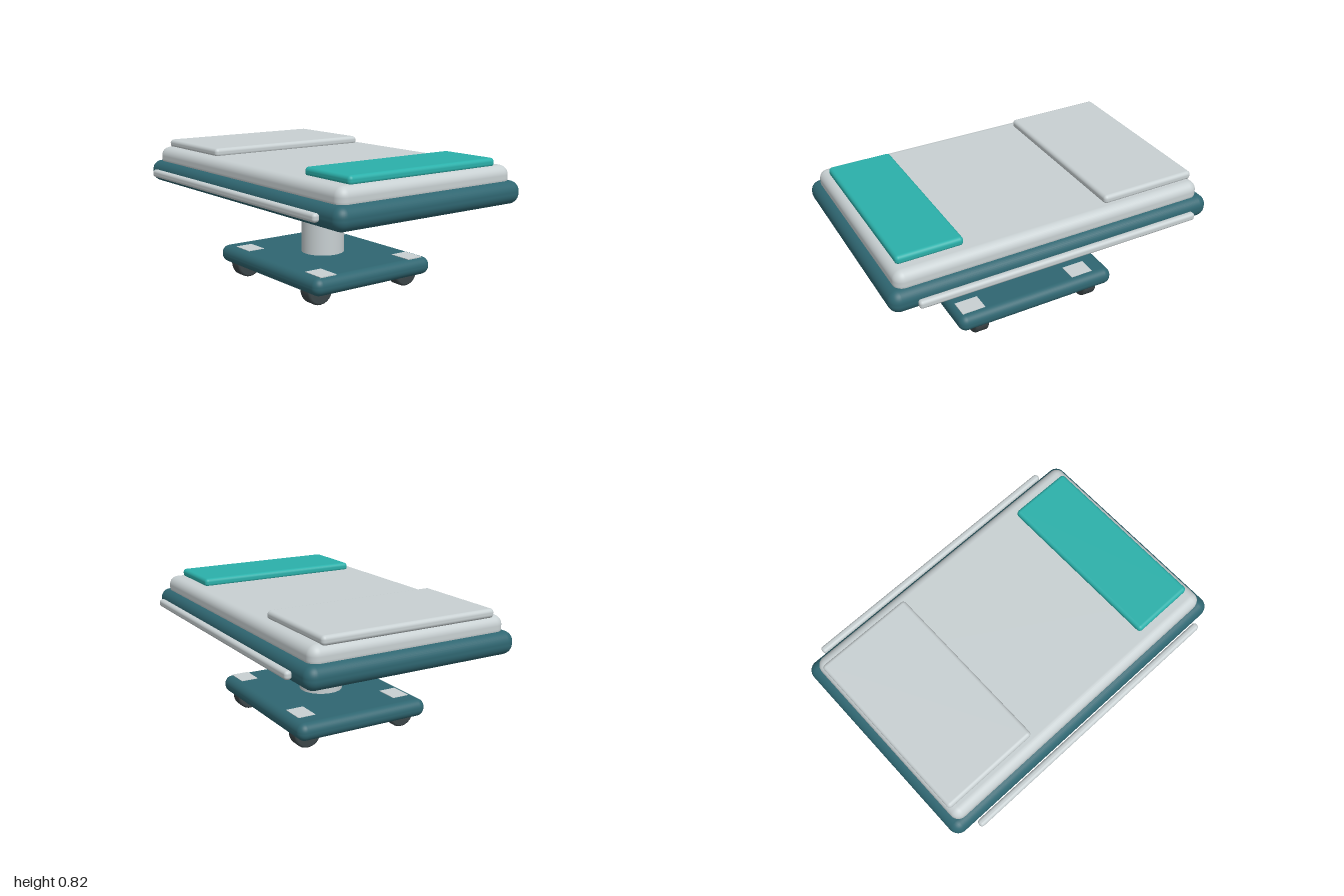
import * as THREE from 'three';
import { RoundedBoxGeometry } from 'three/addons/geometries/RoundedBoxGeometry.js';

const mat = (name, color) => {
  const m = new THREE.MeshStandardMaterial({ color });
  m.name = name;
  return m;
};

export function createModel() {
  const frameBlue = mat('dark teal', 0x2f6671);
  const paleGrey = mat('pale grey', 0xc8d0d2);
  const teal = mat('bright teal', 0x2bb0aa);
  const rubber = mat('dark rubber', 0x3c4649);
  const model = new THREE.Group();
  model.name = 'wheeledBed';

  const add = (name, geometry, material, x, y, z) => {
    const mesh = new THREE.Mesh(geometry, material);
    mesh.name = name;
    mesh.position.set(x, y, z);
    model.add(mesh);
    return mesh;
  };

  // Rounded box given by its width, bottom/top heights and back/front depths
  const slab = (name, material, x, width, y0, y1, z0, z1, radius) =>
    add(name, new RoundedBoxGeometry(width, y1 - y0, z1 - z0, 5, radius),
      material, x, (y0 + y1) / 2, (z0 + z1) / 2);

  // Bed deck and bedding
  slab('bedFrame', frameBlue, 0, 1.31, 0.56, 0.693, -1, 1, 0.06);
  slab('mattress', paleGrey, 0, 1.22, 0.65, 0.78, -0.952, 0.952, 0.055);
  slab('pillow', paleGrey, 0, 1.08, 0.77, 0.823, -0.94, -0.34, 0.022);
  slab('blanket', teal, 0, 1.036, 0.77, 0.823, 0.523, 0.908, 0.022);

  // Lifting column and base
  add('column', new THREE.CylinderGeometry(0.131, 0.131, 0.44, 48), paleGrey, 0, 0.38, 0);
  slab('base', frameBlue, 0, 0.86, 0.08, 0.187, -0.517, 0.517, 0.05);

  // Wheel with softly bevelled rim, turned so its axle runs along z
  const wheelProfile = [[0, -0.045], [0.072, -0.045], [0.081, -0.041], [0.085, -0.032],
    [0.085, 0.032], [0.081, 0.041], [0.072, 0.045], [0, 0.045]]
    .map(([r, h]) => new THREE.Vector2(r, h));
  const wheelGeometry = new THREE.LatheGeometry(wheelProfile, 36).rotateX(Math.PI / 2);

  for (const side of [-1, 1]) {
    const label = side > 0 ? 'left' : 'right';
    slab(label + 'SideRail', paleGrey, side * 0.685, 0.042, 0.602, 0.65, -0.865, 0.865, 0.018);
    for (const end of [-1, 1]) {
      const place = label + (end > 0 ? 'Front' : 'Back');
      add(place + 'Wheel', wheelGeometry, rubber, side * 0.323, 0.085, end * 0.37);
      // Brake plates sit slightly forward of the wheels
      add(place + 'BrakePlate', new THREE.BoxGeometry(0.11, 0.008, 0.145), paleGrey,
        side * 0.323, 0.186, end * 0.367 + 0.043);
    }
  }
  return model;
}
